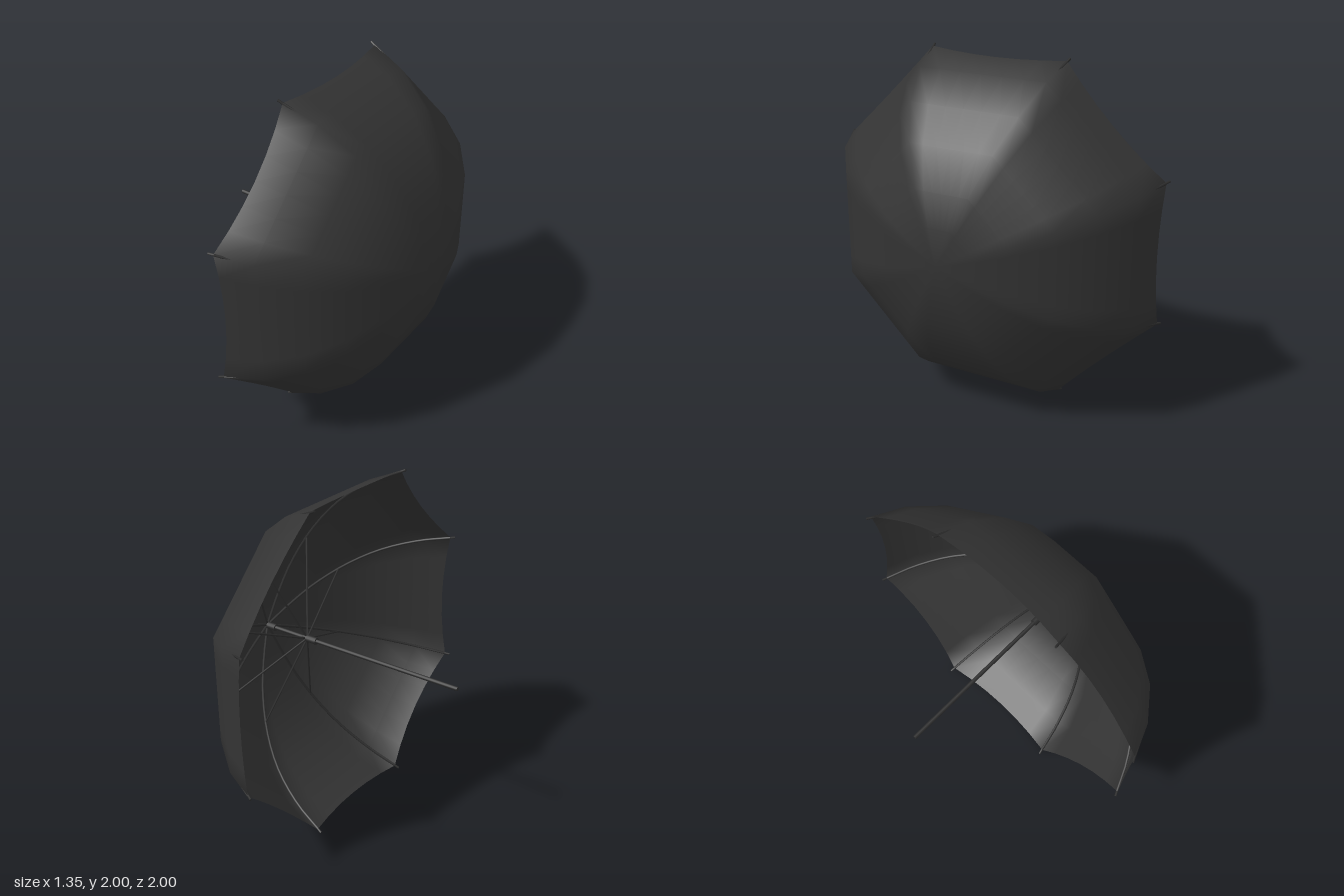
import * as THREE from 'three';

const RIBS = 8;
const STEP = (Math.PI * 2) / RIBS;
// Rib profile from crown to rim: [radius, height along the shaft]
const PROFILE = [[0, 0.672], [0.216, 0.643], [0.411, 0.598], [0.64, 0.5], [0.833, 0.36], [0.985, 0.17], [1.068, -0.02]];

const cloth = new THREE.MeshStandardMaterial({ color: 0x333333, side: THREE.DoubleSide });
const metal = new THREE.MeshStandardMaterial({ color: 0x2c2c2c });

const ribAngle = (i) => (i + 0.5) * STEP;
const onRib = (angle, r, h) => new THREE.Vector3(Math.cos(angle) * r, h, Math.sin(angle) * r);

// Eight panels stretched straight between ribs, with a scalloped rim
function canopyGeometry() {
  const div = 6, cols = RIBS * div, rows = PROFILE.length;
  const positions = [], index = [];
  for (let k = 0; k < rows; k++) {
    for (let c = 0; c < cols; c++) {
      const panel = Math.floor(c / div), t = (c % div) / div;
      let [r, h] = PROFILE[k];
      if (k === rows - 1) {
        const lift = 0.18 * 4 * t * (1 - t);
        r += (PROFILE[k - 1][0] - r) * lift;
        h += (PROFILE[k - 1][1] - h) * lift;
      }
      const p = onRib(ribAngle(panel), r, h).lerp(onRib(ribAngle(panel + 1), r, h), t);
      if (k > 0 || c === 0) positions.push(p.x, p.y, p.z);
    }
  }
  const id = (k, c) => (k === 0 ? 0 : 1 + (k - 1) * cols + (c % cols));
  for (let k = 0; k < rows - 1; k++) {
    for (let c = 0; c < cols; c++) {
      if (k > 0) index.push(id(k, c), id(k, c + 1), id(k + 1, c));
      index.push(id(k, c + 1), id(k + 1, c + 1), id(k + 1, c));
    }
  }
  const g = new THREE.BufferGeometry();
  g.setAttribute('position', new THREE.Float32BufferAttribute(positions, 3));
  g.setIndex(index);
  g.computeVertexNormals();
  return g;
}

// Straight round bar between two points
function bar(name, a, b, radius, sides = 8) {
  const dir = b.clone().sub(a);
  const mesh = new THREE.Mesh(new THREE.CylinderGeometry(radius, radius, dir.length(), sides), metal);
  mesh.position.copy(a).add(b).multiplyScalar(0.5);
  mesh.quaternion.setFromUnitVectors(new THREE.Vector3(0, 1, 0), dir.normalize());
  mesh.name = name;
  return mesh;
}

const axis = (h) => new THREE.Vector3(0, h, 0);

export function createModel() {
  const umbrella = new THREE.Group();
  umbrella.name = 'umbrella';

  const canopy = new THREE.Mesh(canopyGeometry(), cloth);
  canopy.name = 'canopy';
  umbrella.add(canopy);

  // Shaft, sliding runner and crown hub
  umbrella.add(
    bar('shaft', axis(-0.68), axis(0.66), 0.012, 12),
    bar('runner', axis(0.28), axis(0.37), 0.021, 12),
    bar('crownHub', axis(0.59), axis(0.65), 0.021, 12),
  );

  // Curved ribs just under the cloth, each with a tip and a stretcher
  for (let i = 0; i < RIBS; i++) {
    const a = ribAngle(i);
    const path = new THREE.CatmullRomCurve3(PROFILE.map(([r, h], k) =>
      k === PROFILE.length - 1 ? onRib(a, r - 0.006, h) : onRib(a, Math.max(r - 0.012 * (r / 1.07), 0.005), h - 0.014)));
    const rib = new THREE.Mesh(new THREE.TubeGeometry(path, 18, 0.008, 6), metal);
    rib.name = 'rib';
    umbrella.add(
      rib,
      bar('ribTip', onRib(a, 1.058, -0.012), onRib(a, 1.077, -0.048), 0.007, 6),
      bar('stretcher', onRib(a, 0.015, 0.355), onRib(a, 0.575, 0.515), 0.006, 6),
    );
  }

  // Lay the shaft along x with the crown towards +x
  umbrella.rotation.z = -Math.PI / 2;
  umbrella.position.y = 1;
  const model = new THREE.Group();
  model.name = 'openUmbrella';
  model.add(umbrella);
  return model;
}
